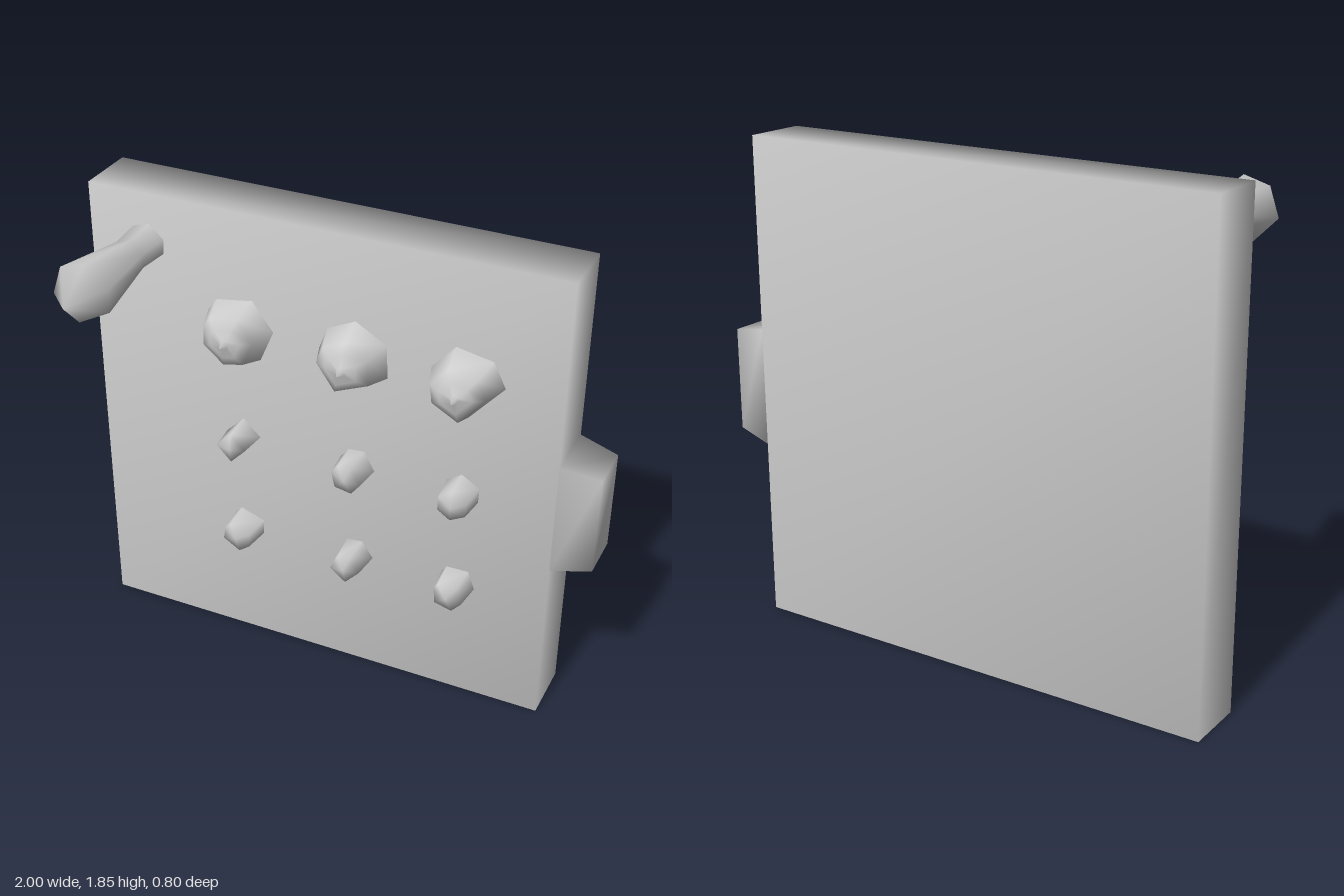
import * as THREE from 'three';
import { mergeVertices } from 'three/addons/utils/BufferGeometryUtils.js';

const material = new THREE.MeshStandardMaterial({ color: 0xcccccc, side: THREE.DoubleSide });
const BACK = -0.4, FACE = -0.16;

// Box with shared corners, so shading runs softly over its edges
function softBox(w, h, d, edit = () => {}) {
  const box = new THREE.BoxGeometry(w, h, d);
  box.deleteAttribute('normal');
  box.deleteAttribute('uv');
  const g = mergeVertices(box);
  const p = g.attributes.position, v = new THREE.Vector3();
  for (let i = 0; i < p.count; i++) {
    v.fromBufferAttribute(p, i);
    edit(v);
    p.setXYZ(i, v.x, v.y, v.z);
  }
  g.computeVertexNormals();
  return g;
}

// Faceted stud along +z: corner angles in degrees, rings of [z, radius], closing at tipZ
function studGeometry(angles, rings, tipZ) {
  const dirs = [...angles].sort((a, b) => a - b).map(THREE.MathUtils.degToRad);
  const n = dirs.length, pos = [], index = [];
  for (const [z, r] of rings)
    for (const a of dirs) pos.push(r * Math.cos(a), r * Math.sin(a), z);
  const tip = pos.length / 3;
  pos.push(0, 0, tipZ);
  rings.forEach((_, k) => {
    for (let i = 0; i < n; i++) {
      const a = k * n + i, b = k * n + (i + 1) % n;
      if (k < rings.length - 1) index.push(a, b, b + n, a, b + n, a + n);
      else index.push(a, b, tip);
    }
  });
  const g = new THREE.BufferGeometry();
  g.setAttribute('position', new THREE.Float32BufferAttribute(pos, 3));
  g.setIndex(index);
  g.computeVertexNormals();
  return g;
}

export function createModel() {
  const model = new THREE.Group();
  const add = (name, geometry, x, y, z = 0) => {
    const mesh = new THREE.Mesh(geometry, material);
    mesh.name = name;
    mesh.position.set(x, y, z);
    model.add(mesh);
  };
  const midZ = (BACK + FACE) / 2;

  // Main slab
  add('panel', softBox(1.85, 1.85, FACE - BACK), -0.075, 0.925, midZ);

  // Tapered tab on the side edge
  add('sideTab', softBox(0.15, 0.45, FACE - BACK, (v) => {
    if (v.x > 0) { v.y *= 0.87; v.z *= 0.77; }
  }), 0.925, 0.905, midZ);

  // Long handle with a thin neck and a pointed head
  add('handle', studGeometry([80, 21, -24, -100, -170, 132],
    [[FACE, 0.077], [-0.03, 0.068], [0.28, 0.118]], 0.4), -0.77, 1.655);

  // Large knobs, each with a small central spike
  const knobs = [
    [-0.395, 0.138, [7, 67, 132, 157, 200, 260, 307]],
    [0.067, 0.141, [31, 90, 141, 180, 251, 335]],
    [0.495, 0.14, [4, 49, 110, 167, 208, 274]],
  ];
  for (const [x, r, angles] of knobs) {
    add('knob', studGeometry(angles,
      [[FACE, r], [-0.06, r * 0.75], [-0.04, r * 0.45], [-0.032, r * 0.12]], 0), x, 1.385);
  }

  // Two rows of small buttons
  const buttons = [
    [-0.39, 0.93, [3, 90, 180, 270]],
    [0.083, 0.925, [-9, 67, 120, 162, 225, 294]],
    [0.5, 0.93, [23, 94, 150, 207, 266, 331]],
    [-0.377, 0.518, [25, 117, 143, 198, 280, 333]],
    [0.083, 0.513, [0, 69, 122, 190, 274]],
    [0.5, 0.518, [-14, 54, 129, 151, 219, 291]],
  ];
  for (const [x, y, angles] of buttons) {
    add('button', studGeometry(angles, [[FACE, 0.07], [-0.05, 0.06]], -0.035), x, y);
  }
  return model;
}
